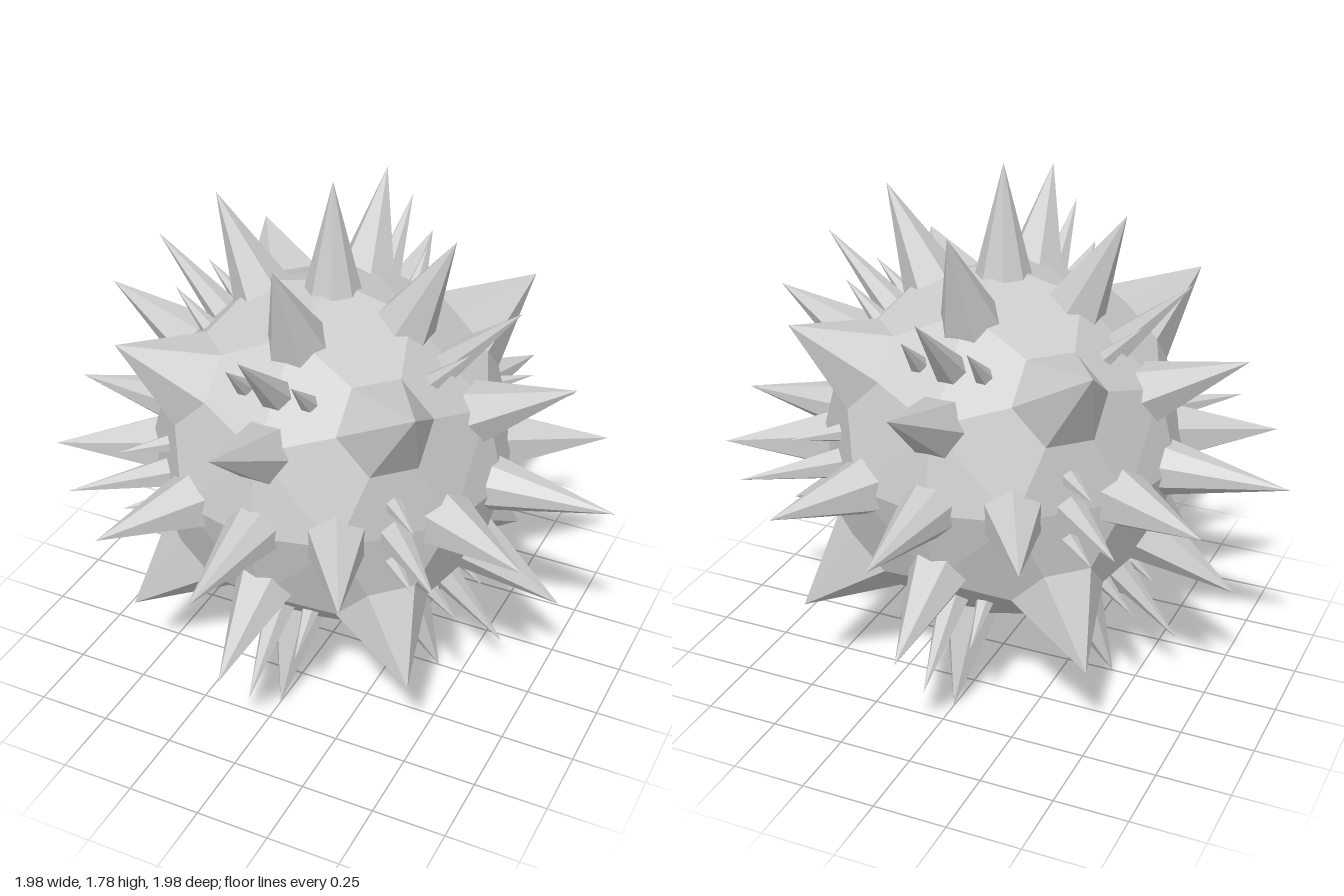
import * as THREE from 'three';
import { ConvexGeometry } from 'three/addons/geometries/ConvexGeometry.js';

const R = 0.61; // body radius
const V = (x, y, z) => new THREE.Vector3(x, y, z);
const SIGNS = [-1, 1];
const material = new THREE.MeshStandardMaterial({ color: 0xcccccc, flatShading: true });

function add(parent, name, geometry) {
  const mesh = new THREE.Mesh(geometry, material);
  mesh.name = name;
  parent.add(mesh);
  return mesh;
}

// Vector with values a, b, c placed on axes i, i+1, i+2
function onAxes(i, a, b, c) {
  const v = V(0, 0, 0);
  v.setComponent(i, a).setComponent((i + 1) % 3, b).setComponent((i + 2) % 3, c);
  return v;
}

// Cone sunk into the body: radius is its width at the surface, side points to a corner of its base
function spike(parent, name, dir, side, tip, radius, sides, { offset = 0, surface = 0.58, turn = 0 } = {}) {
  const root = 0.45, h = tip - root;
  const geo = new THREE.ConeGeometry(radius * h / (tip - surface), h, sides, 1, true, turn);
  geo.translate(0, root + h / 2, 0);
  const y = dir.clone().normalize();
  const mesh = add(parent, name, geo);
  mesh.quaternion.setFromRotationMatrix(
    new THREE.Matrix4().makeBasis(y.clone().cross(side), y, side));
  mesh.position.copy(side).multiplyScalar(offset);
}

export function createModel() {
  const model = new THREE.Group();
  model.name = 'spikyBall';
  const ball = new THREE.Group();
  ball.name = 'ball';
  ball.position.y = 0.83;
  model.add(ball);

  const hull = [];

  for (let i = 0; i < 3; i++) {
    // Spikes on the main axes, none underneath
    for (const s of SIGNS) {
      const dir = onAxes(i, s, 0, 0);
      hull.push(dir.clone().multiplyScalar(R));
      if (dir.y < 0) continue;
      const tip = dir.y > 0 ? 0.95 : 0.99;
      spike(ball, 'axisSpike', dir, onAxes(i, 0, 1, 0), tip, 0.092, 8, { turn: Math.PI / 8 });
    }

    // Spikes in the plane square to axis i
    const side = onAxes(i, 1, 0, 0);
    for (const s of SIGNS) for (const t of SIGNS) {
      for (const [a, b] of [[1, 2], [2, 1]]) {
        const dir = onAxes(i, 0, a * s, b * t);
        hull.push(dir.clone().setLength(R));
        spike(ball, 'largeSpike', dir, side, 0.93, 0.1, 6);
      }
      // Slim spike with a small thorn on each side
      const diagonal = onAxes(i, 0, s, t);
      spike(ball, 'slimSpike', diagonal, side, 0.905, 0.053, 6);
      for (const k of SIGNS) {
        spike(ball, 'thorn', diagonal, side, 0.735, 0.032, 6, { offset: 0.11 * k, surface: 0.56 });
      }
    }
  }

  // Broad six-sided corner spikes joined to facets of the body
  for (const x of SIGNS) for (const y of SIGNS) for (const z of SIGNS) {
    const ring = [];
    for (let i = 0; i < 3; i++) {
      for (const [a, b, c] of [[2, 3, 4], [4, 3, 2]]) {
        ring.push(onAxes(i, a, b, c).multiply(V(x, y, z)).setLength(R));
      }
    }
    hull.push(...ring);
    add(ball, 'cornerSpike', new ConvexGeometry([...ring, V(x, y, z).multiplyScalar(0.507)]));
  }

  // Faceted body
  add(ball, 'body', new ConvexGeometry(hull));
  return model;
}
